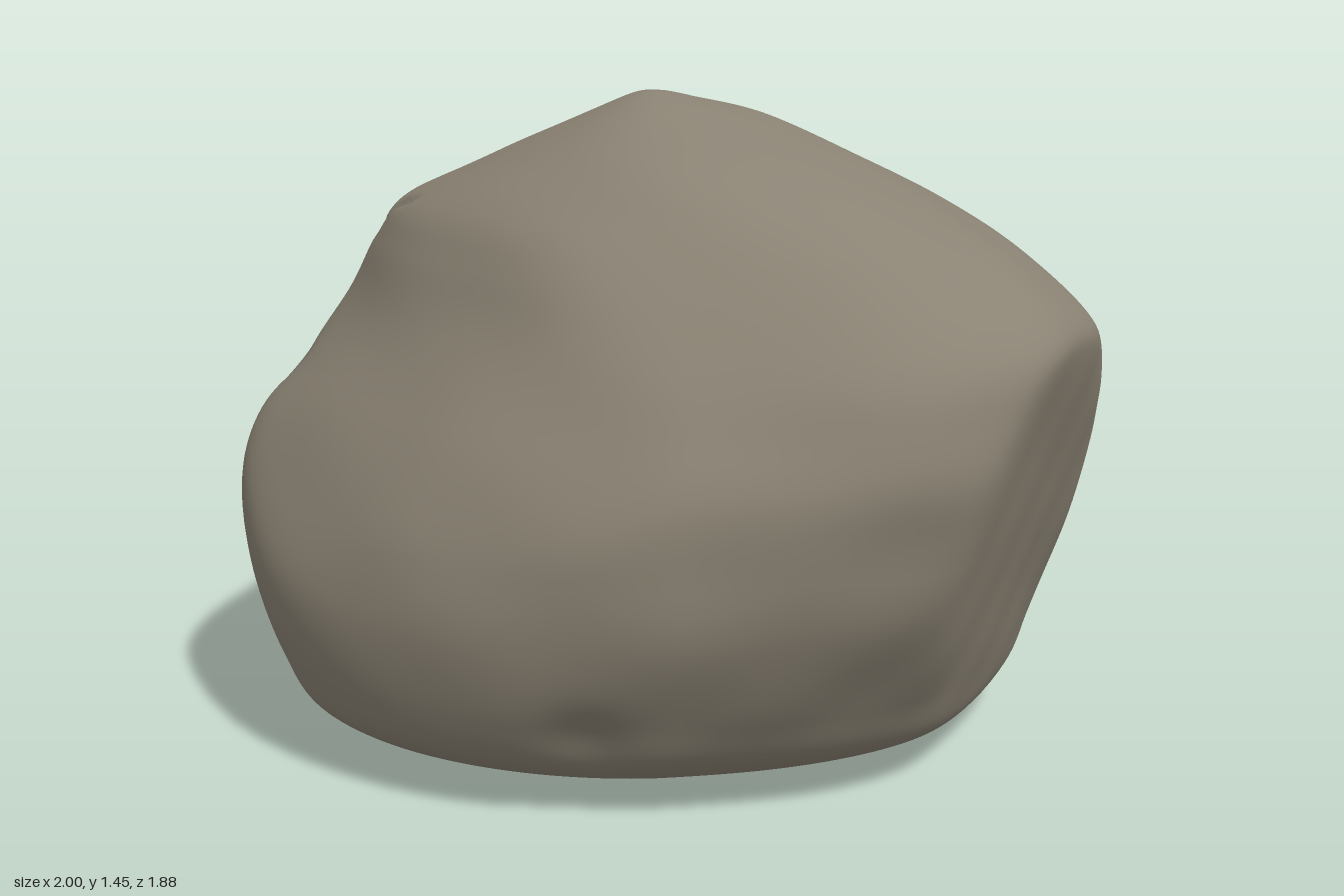
import * as THREE from 'three';

// Level profile: height, min x, max x, min z, max z, centre x, centre z
const LEVELS = [
  [0.00, -0.04, 0.00, 0.02, 0.06, -0.02, 0.04],
  [0.005, -0.33, 0.26, -0.20, 0.30, 0.00, 0.03],
  [0.03, -0.63, 0.55, -0.36, 0.57, 0.00, 0.03],
  [0.10, -0.80, 0.80, -0.55, 0.76, 0.01, 0.02],
  [0.22, -0.88, 0.88, -0.69, 0.85, 0.02, 0.00],
  [0.40, -0.97, 0.95, -0.86, 0.92, 0.03, -0.03],
  [0.55, -1.00, 0.985, -0.91, 0.94, 0.04, -0.05],
  [0.70, -0.97, 1.005, -0.93, 0.94, 0.04, -0.06],
  [0.83, -0.87, 0.99, -0.93, 0.89, 0.04, -0.08],
  [0.96, -0.78, 0.95, -0.90, 0.83, 0.03, -0.10],
  [1.10, -0.71, 0.81, -0.82, 0.72, 0.02, -0.13],
  [1.20, -0.63, 0.65, -0.73, 0.59, 0.00, -0.15],
  [1.30, -0.40, 0.45, -0.61, 0.39, -0.01, -0.16],
  [1.40, -0.17, 0.23, -0.43, 0.08, -0.02, -0.17],
  [1.44, -0.08, 0.06, -0.27, -0.08, -0.02, -0.18],
  [1.45, -0.04, 0.00, -0.20, -0.15, -0.02, -0.18],
];

// Roundness of each quadrant: +x+z, -x+z, -x-z, +x-z
const ROUNDNESS = [2.55, 1.75, 2.35, 2.45];

// Broad worn facets: normal and offset
const FACETS = [
  [0.9, -0.3, 0.4, 0.715],
  [-0.7, 0.5, 0.5, 1.04],
  [0.35, 0.7, -0.6, 1.26],
  [-0.45, 0.4, 0.76, 1.01],
  [-0.2, 0.65, 0.72, 1.165],
];

// Chipped dents: centre, radius, depth
const DENTS = [
  [-0.16, 0.16, 0.84, 0.13, 0.025],
  [0.62, 1.0, 0.25, 0.14, 0.01],
  [-0.9, 0.8, -0.2, 0.09, 0.012],
  [0.7, 0.95, -0.62, 0.12, 0.012],
];

// Crack path seen from above (x, z)
const CRACK = [[-0.6, -0.65], [-0.67, -0.57], [-0.67, -0.51], [-0.72, -0.44],
  [-0.69, -0.38], [-0.7, -0.28], [-0.65, -0.24], [-0.6, -0.12]];

const ROWS = 160;
const SIDES = 280;
const { smoothstep, clamp, lerp } = THREE.MathUtils;

function sampleLevel(t) {
  const last = LEVELS.length - 1;
  const f = t * last;
  const i = Math.min(Math.floor(f), last - 1);
  const u = f - i;
  const at = (k) => LEVELS[clamp(k, 0, last)];
  return LEVELS[i].map((b, k) => {
    const a = at(i - 1)[k], c = at(i + 1)[k], d = at(i + 2)[k];
    return b + 0.5 * u * (c - a + u * (2 * a - 5 * b + 4 * c - d + u * (3 * (b - c) + d - a)));
  });
}

// The foot is slanted one way and the shoulders the other
function skewAt(y) {
  return -0.21 * (1 - smoothstep(y, 0.1, 0.6))
    + 0.28 * smoothstep(y, 0.55, 1.05) * (1 - smoothstep(y, 1.2, 1.44));
}

function crackDistance(x, z) {
  let best = 1;
  for (let i = 0; i < CRACK.length - 1; i++) {
    const [ax, az] = CRACK[i];
    const dx = CRACK[i + 1][0] - ax, dz = CRACK[i + 1][1] - az;
    const u = clamp(((x - ax) * dx + (z - az) * dz) / (dx * dx + dz * dz), 0, 1);
    best = Math.min(best, Math.hypot(x - ax - u * dx, z - az - u * dz));
  }
  return best;
}

function weather(p) {
  // press the facets in with soft edges
  for (const [a, b, c, h] of FACETS) {
    const n = new THREE.Vector3(a, b, c);
    const len = n.length();
    const d = (n.dot(p) - h) / len;
    p.addScaledVector(n, -0.5 * (d + Math.hypot(d, 0.04)) / len);
  }
  // gentle lumps, dents and the crack, all along the outward direction
  const out = new THREE.Vector3(p.x, p.y - 0.65, p.z).normalize();
  const edge = smoothstep(p.y, 0.03, 0.25);
  let push = 0.005 * edge * (Math.sin(7 * p.x + 4 * p.y + 1) * Math.sin(6 * p.z - 5 * p.y)
    + 0.5 * Math.sin(15 * p.y + 9 * p.z) * Math.sin(14 * p.x - 8 * p.z + 2));
  for (const [x, y, z, radius, depth] of DENTS) {
    const d = Math.hypot(p.x - x, p.y - y, p.z - z) / radius;
    push -= depth * Math.exp(-d * d * 2);
  }
  if (p.y > 0.75) push -= 0.012 * Math.exp(-((crackDistance(p.x, p.z) / 0.011) ** 2));
  return p.addScaledVector(out, push);
}

function boulderGeometry() {
  const positions = [];
  const index = [];
  for (let j = 0; j <= ROWS; j++) {
    const [y, x0, x1, z0, z1, cx, cz] = sampleLevel(j / ROWS);
    const soften = smoothstep(y, 0.8, 1.4);
    const skew = skewAt(y);
    const keep = Math.sqrt(1 - skew * skew);
    for (let i = 0; i < SIDES; i++) {
      const a = (i / SIDES) * Math.PI * 2;
      const c = Math.cos(a), s = Math.sin(a);
      const e = lerp(ROUNDNESS[Math.floor((i * 4) / SIDES)], 2, soften);
      const r = (Math.abs(c) ** e + Math.abs(s) ** e) ** (-1 / e);
      const p = new THREE.Vector3(
        cx + r * c * (c > 0 ? x1 - cx : cx - x0),
        Math.max(0, y),
        cz + r * (keep * s * (s > 0 ? z1 - cz : cz - z0) + skew * c * (z1 - z0) / 2));
      positions.push(...weather(p).toArray());
      if (j < ROWS) {
        const k = j * SIDES + i, n = j * SIDES + ((i + 1) % SIDES);
        index.push(k, k + SIDES, n, n, k + SIDES, n + SIDES);
      }
    }
  }
  // close the bottom and top
  const foot = positions.length / 3;
  const bottom = LEVELS[0], top = LEVELS[LEVELS.length - 1];
  positions.push(bottom[5], positions[1], bottom[6]);
  positions.push(top[5], positions[ROWS * SIDES * 3 + 1], top[6]);
  for (let i = 0; i < SIDES; i++) {
    const n = (i + 1) % SIDES;
    index.push(foot, i, n, foot + 1, ROWS * SIDES + n, ROWS * SIDES + i);
  }
  const geometry = new THREE.BufferGeometry();
  geometry.setAttribute('position', new THREE.Float32BufferAttribute(positions, 3));
  geometry.setIndex(index);
  geometry.computeVertexNormals();
  return geometry;
}

export function createModel() {
  const group = new THREE.Group();
  group.name = 'rock';
  const stone = new THREE.MeshStandardMaterial({ color: 0x8a8273 });
  stone.name = 'warm grey stone';
  const boulder = new THREE.Mesh(boulderGeometry(), stone);
  boulder.name = 'boulder';
  group.add(boulder);
  return group;
}
